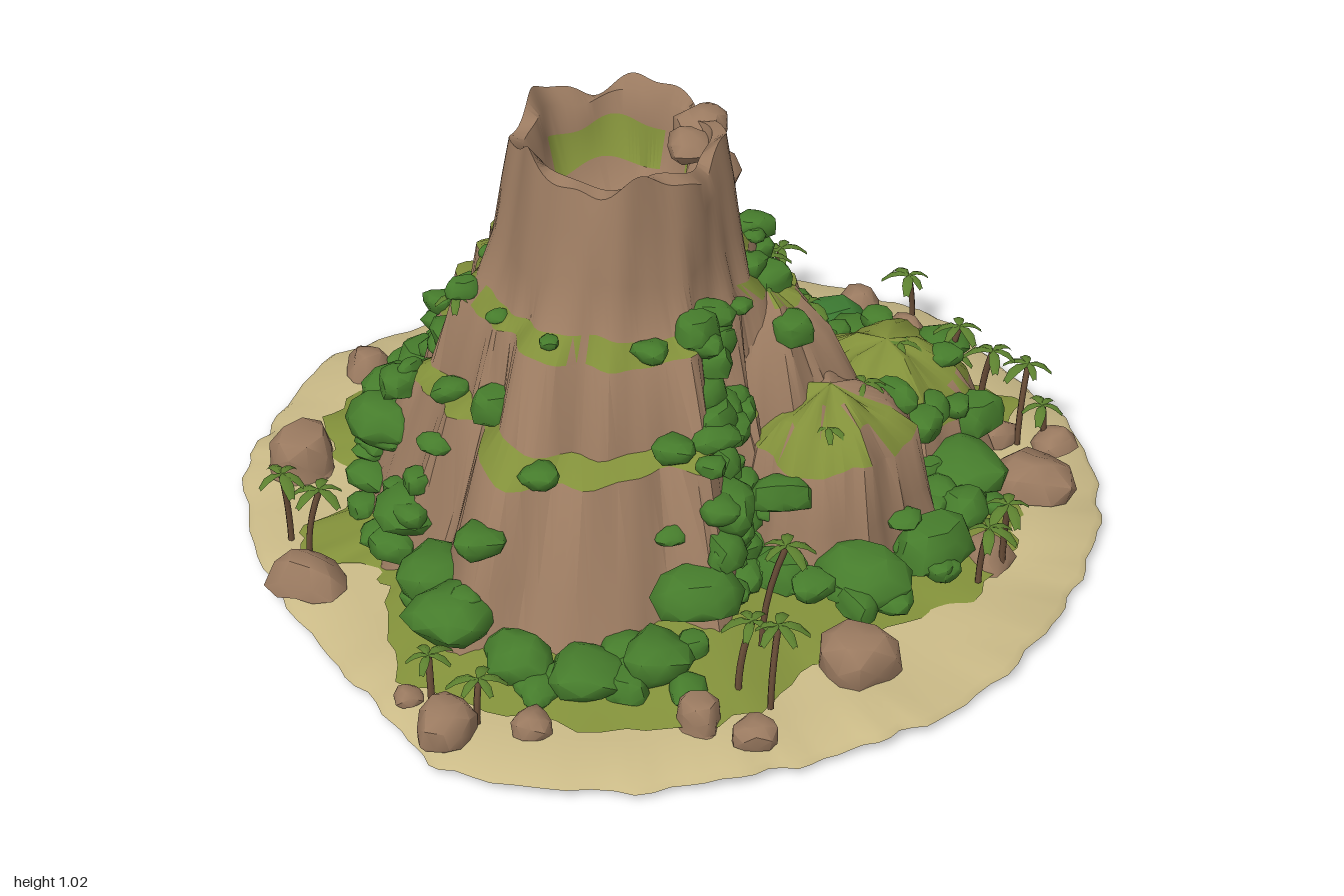
import * as THREE from 'three';
import { toCreasedNormals } from 'three/addons/utils/BufferGeometryUtils.js';

const mat = (name, color, side = THREE.FrontSide) => {
  const m = new THREE.MeshStandardMaterial({ color, side });
  m.name = name;
  return m;
};

let seed = 7;
const rnd = () => (seed = (seed * 16807) % 2147483647) / 2147483647;
const TAU = Math.PI * 2;

// Skin stacked rings; point(i, t) gives ring i at turn t. Faces that pass isGrass go to the second group.
function ringGeometry(rows, segs, point, isGrass = () => false) {
  const grid = [];
  for (let i = 0; i < rows; i++)
    for (let j = 0; j < segs; j++) grid.push(new THREE.Vector3(...point(i, j / segs)));
  const bare = [], grassy = [], tri = new THREE.Triangle(), n = new THREE.Vector3();
  for (let i = 0; i < rows - 1; i++)
    for (let j = 0; j < segs; j++) {
      const k = (j + 1) % segs;
      const a = i * segs + j, b = a + segs, c = (i + 1) * segs + k, d = i * segs + k;
      for (const f of [[a, b, c], [a, c, d]]) {
        tri.set(grid[f[0]], grid[f[1]], grid[f[2]]);
        if (tri.getArea() < 1e-8) continue;
        tri.getNormal(n);
        (isGrass(n.y, i, j / segs) ? grassy : bare).push(...f);
      }
    }
  const g = new THREE.BufferGeometry().setFromPoints(grid);
  g.setIndex([...bare, ...grassy]);
  g.addGroup(0, bare.length, 0);
  g.addGroup(bare.length, grassy.length, 1);
  return toCreasedNormals(g, 0.8);
}

// Closed shoreline: rings are the outline scaled towards the middle
function shore(points, rows, jag) {
  const pts = points.map(([x, z]) => new THREE.Vector3(x, 0, z));
  const curve = new THREE.CatmullRomCurve3(pts, true);
  return ringGeometry(rows.length, 160, (i, t) => {
    const p = curve.getPoint(t), [s, y] = rows[i];
    const k = s * (1 + jag * (Math.sin(t * TAU * 31) + Math.sin(t * TAU * 49 + 1)) * (s > 0.9 ? 1 : 0));
    return [p.x * k, y + (s > 0.8 ? 0.005 * Math.sin(t * TAU * 14) : 0), p.z * k];
  });
}

// Mounds: profile of [radius, height]; spread widens the foot per direction, back shifts rings on the rear side
const PEAK = {
  name: 'mainPeak', x: -0.11, z: 0, top: 0.225, lip: 8, groove: 1,
  profile: [[0.67, 0.04], [0.585, 0.2], [0.49, 0.41], [0.42, 0.44], [0.36, 0.62], [0.31, 0.655],
    [0.272, 0.76], [0.245, 0.88], [0.222, 0.975], [0.192, 0.965], [0.178, 0.91], [0.16, 0.82], [0.11, 0.77], [0, 0.76]],
  spread: [0.6, 0.5, 0.55, 0.9, 1.04, 1.02, 0.8, 0.78, 0.76, 0.76, 0.97, 0.85, 1.02, 0.92, 0.92, 0.5],
  back: [0, 0, 0.03, -0.03, 0.02, -0.02],
  isGrass: (ny, i, t) => i < 8 ? ny > 0.6 : i === 10 && Math.sin(t * TAU * 3 + 1) > -0.7,
};
const MOUNDS = [PEAK,
  { name: 'upperShoulder', x: 0.2, z: -0.02, top: 0, lip: 9, groove: 0.45, spread: [1, 0.9, 1, 0.85], back: [],
    profile: [[0.27, 0.05], [0.2, 0.38], [0.14, 0.5], [0.08, 0.58], [0, 0.62]], isGrass: (ny) => ny > 0.72 },
  { name: 'frontShoulder', x: 0.36, z: 0.1, top: 0, lip: 9, groove: 0.35, spread: [0.95, 0.9, 1.05, 1, 0.9, 1.1, 1, 1], back: [],
    profile: [[0.26, 0.05], [0.22, 0.2], [0.19, 0.33], [0.13, 0.385], [0.06, 0.42], [0, 0.44]], isGrass: (ny, i, t) => ny > 0.62 && t < 0.6 },
  { name: 'backShoulder', x: 0.47, z: -0.27, top: 0, lip: 9, groove: 0.3, spread: [0.9, 0.9, 1.1, 1, 0.9, 1, 1.15, 1], back: [],
    profile: [[0.27, 0.05], [0.22, 0.18], [0.17, 0.24], [0.08, 0.3], [0, 0.32]], isGrass: (ny) => ny > 0.52 },
];

function level(m, i, a) {
  const [r0, y] = m.profile[i], n = m.spread.length;
  const r = r0 + (m.back[i] ?? 0) * Math.max(0, -Math.sin(a));
  const u = (((a / TAU) % 1) + 1) % 1 * n, i0 = Math.floor(u) % n, f = u - Math.floor(u);
  const k = THREE.MathUtils.lerp(m.spread[i0], m.spread[(i0 + 1) % n], f * f * (3 - 2 * f));
  const fall = Math.max(0, r - m.top);
  const groove = m.groove * (0.028 * Math.sin(7 * a + 0.6) + 0.02 * Math.sin(13 * a + i * 0.4) + 0.013 * Math.sin(23 * a + i));
  const rim = i === m.lip ? 0.014 * Math.sin(5 * a + 2) + 0.01 * Math.sin(11 * a) + 0.014 * Math.cos(a - 3.6) : 0;
  const rr = r > m.top ? m.top + fall * k + groove * Math.min(1, fall * 4) : r;
  const thin = Math.abs(i - m.lip) < 3 ? 0.008 * Math.sin(8 * a + i * 0.3) : 0;
  return [r ? rr + thin : 0, y + rim + (i > 1 && i < 12 && r ? 0.012 * Math.sin(5 * a + i) : 0)];
}

function heightAt(x, z) {
  let best = THREE.MathUtils.mapLinear(THREE.MathUtils.clamp(Math.hypot(x, z), 0.55, 0.8), 0.55, 0.8, 0.12, 0.045);
  for (const m of MOUNDS) {
    const r = Math.hypot(x - m.x, z - m.z), a = Math.atan2(z - m.z, x - m.x);
    for (let i = 0; i < m.profile.length - 1; i++) {
      const [r0, y0] = level(m, i, a), [r1, y1] = level(m, i + 1, a);
      if (r <= r0 && r >= r1 && r0 > r1) best = Math.max(best, y0 + (y1 - y0) * (r0 - r) / (r0 - r1));
    }
  }
  return best;
}

// Irregular lump for bushes and boulders, cut flat at the bottom
function lump(name, material, x, y, z, size, squash, bottom = -0.7) {
  const g = new THREE.IcosahedronGeometry(1, 1), p = g.attributes.position, v = new THREE.Vector3(), o = rnd() * 50;
  for (let i = 0; i < p.count; i++) {
    v.fromBufferAttribute(p, i);
    const k = 1 + 0.13 * Math.sin(v.x * 3.1 + o) + 0.1 * Math.sin(v.y * 4.3 + o * 2) + 0.12 * Math.sin(v.z * 3.7 + o * 3);
    v.multiplyScalar(k);
    p.setXYZ(i, v.x, Math.max(bottom, Math.min(0.85, v.y)), v.z);
  }
  const mesh = new THREE.Mesh(toCreasedNormals(g, 0.85), material);
  mesh.name = name;
  mesh.position.set(x, y, z);
  mesh.scale.set(size, size * squash, size * (0.8 + rnd() * 0.3));
  mesh.rotation.y = rnd() * TAU;
  return mesh;
}

// Drooping tapered leaf blade
function bladeGeometry(len, width) {
  const g = new THREE.PlaneGeometry(len, width, 3, 2).rotateX(-Math.PI / 2).translate(len / 2, 0, 0);
  const p = g.attributes.position;
  for (let i = 0; i < p.count; i++) {
    const t = p.getX(i) / len, z = p.getZ(i);
    p.setXYZ(i, p.getX(i), len * (0.5 * t - 0.85 * t * t) - Math.abs(z) * 0.4, z * (0.25 + 2.6 * t * (1.1 - t)));
  }
  g.computeVertexNormals();
  return g;
}

export function createModel() {
  const sand = mat('sand', 0xcaba87), rock = mat('rock', 0x9a7a60), grass = mat('grass', 0x82903a);
  const bushGreen = mat('bushGreen', 0x467c2c), deepGreen = mat('deepGreen', 0x3c7a32);
  const bark = mat('bark', 0x6a4e38), leaf = mat('palmLeaf', 0x5c802f, THREE.DoubleSide);
  const island = new THREE.Group();
  island.name = 'volcanoIsland';
  const add = (name, geometry, material, parent = island) => {
    const mesh = new THREE.Mesh(geometry, material);
    mesh.name = name;
    parent.add(mesh);
    return mesh;
  };
  const group = (name) => {
    const g = new THREE.Group();
    g.name = name;
    island.add(g);
    return g;
  };

  // Beach slab and grass apron
  add('beach', shore([[0.97, -0.05], [0.92, 0.2], [0.82, 0.45], [0.63, 0.7], [0.45, 0.82], [0.25, 0.92], [0, 0.99],
    [-0.35, 0.97], [-0.5, 0.82], [-0.68, 0.6], [-0.88, 0.3], [-0.98, -0.05], [-0.96, -0.2], [-0.87, -0.5], [-0.65, -0.7],
    [-0.47, -0.92], [-0.25, -0.95], [0, -0.99], [0.4, -0.92], [0.57, -0.84], [0.75, -0.62], [0.92, -0.35]],
  [[0, 0], [0.9, 0.012], [1, 0.02], [0.985, 0.032], [0.85, 0.04], [0, 0.045]], 0.005), [sand, sand]);
  add('grassApron', shore([[0.78, 0.1], [0.7, 0.3], [0.5, 0.45], [0.35, 0.6], [0.22, 0.78], [0, 0.83], [-0.3, 0.8],
    [-0.5, 0.7], [-0.57, 0.45], [-0.62, 0.33], [-0.76, 0.33], [-0.8, 0.23], [-0.68, 0.05], [-0.79, -0.1], [-0.82, -0.25],
    [-0.65, -0.45], [-0.52, -0.65], [-0.3, -0.8], [0, -0.87], [0.25, -0.83], [0.4, -0.7], [0.48, -0.56], [0.65, -0.52],
    [0.78, -0.42], [0.7, -0.25], [0.77, -0.1]],
  [[1, 0.048], [0.9, 0.068], [0.72, 0.115], [0, 0.13]], 0.012), [grass, grass]);

  // Rock peak with crater, and its lower shoulders; ledges are grassy
  for (const m of MOUNDS)
    add(m.name, ringGeometry(m.profile.length, m === PEAK ? 128 : 56, (i, t) => {
      const a = t * TAU, [r, y] = level(m, i, a);
      return [m.x + r * Math.cos(a), y, m.z + r * Math.sin(a)];
    }, m.isGrass), [rock, grass]);
  // Loose blocks by the rim
  for (const [x, y, z, s] of [[0.06, 0.93, -0.11, 0.055], [0.09, 0.86, -0.06, 0.05], [0.04, 0.93, -0.04, 0.045]])
    island.add(lump('rimBlock', rock, x, y, z, s, 1.1));

  // Bushes around the foot and between the shoulders
  const bushes = group('bushes');
  const bush = (x, z, s) => bushes.add(lump('bush', z < -0.62 && rnd() < 0.7 ? deepGreen : bushGreen,
    x, heightAt(x, z) + s * 0.25, z, s, 0.75));
  const spots = [[-0.67, -0.28], [-0.6, -0.1], [-0.62, 0.1], [-0.56, 0.28], [-0.45, 0.45], [-0.41, 0.6], [-0.26, 0.67], [-0.1, 0.71],
    [0.04, 0.66], [0.11, 0.54], [0.16, 0.42], [0.28, 0.38], [0.45, 0.37], [0.6, 0.22], [0.66, 0.06], [0.65, -0.07],
    [0.68, -0.22], [0.36, -0.5], [0.41, -0.58], [0.31, -0.69], [0.19, -0.73], [0, -0.75],
    [-0.12, -0.77], [-0.26, -0.72], [-0.42, -0.66], [-0.56, -0.54], [-0.62, -0.42]];
  for (const [x, z] of spots) {
    bush(x, z, 0.065 + rnd() * 0.03);
    for (let k = 0; k < 3; k++) bush(x + (rnd() - 0.5) * 0.16, z + (rnd() - 0.5) * 0.16, 0.032 + rnd() * 0.022);
  }
  for (const [x, z] of [[0.56, -0.08], [0.53, 0.22], [0.6, -0.38], [0.27, 0.3], [0.42, -0.1], [0.44, -0.46], [0.2, 0.28], [0.32, -0.22], [0.5, 0.02]])
    bush(x, z, 0.035 + rnd() * 0.025);
  // Bushes at ring height u of the peak: scattered on the ledges, then lining the gullies
  const peakBush = (u, a, s) => {
    const i = Math.floor(u), r = THREE.MathUtils.lerp(level(PEAK, i, a)[0], level(PEAK, i + 1, a)[0], u - i);
    bush(PEAK.x + r * Math.cos(a), PEAK.z + r * Math.sin(a), s * (0.6 + rnd() * 0.9));
  };
  for (const [u, count, s] of [[2.2, 16, 0.042], [4.2, 12, 0.03]])
    for (let k = 0; k < count; k++) peakBush(u + rnd() * 0.7, (k + rnd()) / count * TAU, s);
  for (const [a, end] of [[0.7, 4.5], [0.88, 4.5], [1, 2.5], [5.6, 4.5], [5.75, 4], [2.5, 1.8], [2.95, 2], [3.3, 2], [3.7, 1.8]])
    for (let u = 0.4; u < end; u += 0.35) peakBush(u + rnd() * 0.2, a + (rnd() - 0.5) * 0.16, 0.038);

  // Beach boulders
  const boulders = group('boulders');
  for (const [x, z, s] of [[-0.42, -0.84, 0.08], [0.38, -0.82, 0.06], [0.5, -0.72, 0.05], [0.17, -0.89, 0.04], [-0.76, -0.44, 0.06],
    [-0.84, -0.05, 0.085], [-0.75, 0.39, 0.075], [-0.38, 0.87, 0.07], [-0.2, 0.84, 0.045], [0.14, 0.79, 0.06], [0.25, 0.83, 0.05],
    [0.46, 0.58, 0.09], [0.72, 0.18, 0.06], [0.82, -0.12, 0.085], [0.73, -0.3, 0.05], [0.86, -0.28, 0.045], [-0.47, 0.77, 0.03]])
    boulders.add(lump('boulder', rock, x, 0.045, z, s, 1.15, -0.1));

  // Palms (height above ground) and trunkless ferns
  const blade = bladeGeometry(0.065, 0.026);
  function palm(x, z, h) {
    const g = group(h ? 'palm' : 'fern');
    g.position.set(x, heightAt(x, z) - 0.005, z);
    g.rotation.y = rnd() * TAU;
    const lean = h * 0.18;
    if (h) {
      const path = new THREE.QuadraticBezierCurve3(new THREE.Vector3(), new THREE.Vector3(0, h * 0.5, 0), new THREE.Vector3(lean, h, 0));
      add('trunk', new THREE.TubeGeometry(path, 5, 0.0075, 6), bark, g);
    }
    for (let k = 0; k < 5; k++) {
      const f = add('frond', blade, leaf, g);
      f.position.set(lean, h + 0.005, 0);
      f.rotation.y = (k + rnd() * 0.5) / 5 * TAU;
      f.scale.setScalar((h ? 0.7 : 0.55) + rnd() * 0.35);
    }
  }
  for (const [x, z, h] of [[-0.82, 0.24, 0.2], [-0.77, 0.29, 0.17], [0.25, 0.58, 0.26], [0.21, 0.7, 0.17], [0.28, 0.73, 0.19],
    [0.75, 0.2, 0.19], [0.7, 0.27, 0.16], [0.69, -0.34, 0.18], [0.78, -0.28, 0.2], [0.84, -0.3, 0.11], [0.62, -0.36, 0.08],
    [-0.36, -0.78, 0.16], [0.16, -0.8, 0.17], [0.02, -0.78, 0.16], [0.52, -0.8, 0.13], [0.17, -0.88, 0.13], [-0.42, 0.79, 0.12], [-0.32, 0.83, 0.1],
    [0.43, 0.06, 0], [0.3, -0.05, 0], [0.5, -0.27, 0], [0.36, 0.2, 0], [0.2, -0.02, 0], [0.55, -0.4, 0], [-0.3, -0.42, 0], [0.12, -0.4, 0],
    [-0.1, -0.34, 0], [-0.45, 0.1, 0], [0.62, -0.45, 0], [-0.7, -0.2, 0]])
    palm(x, z, h);

  return island;
}
